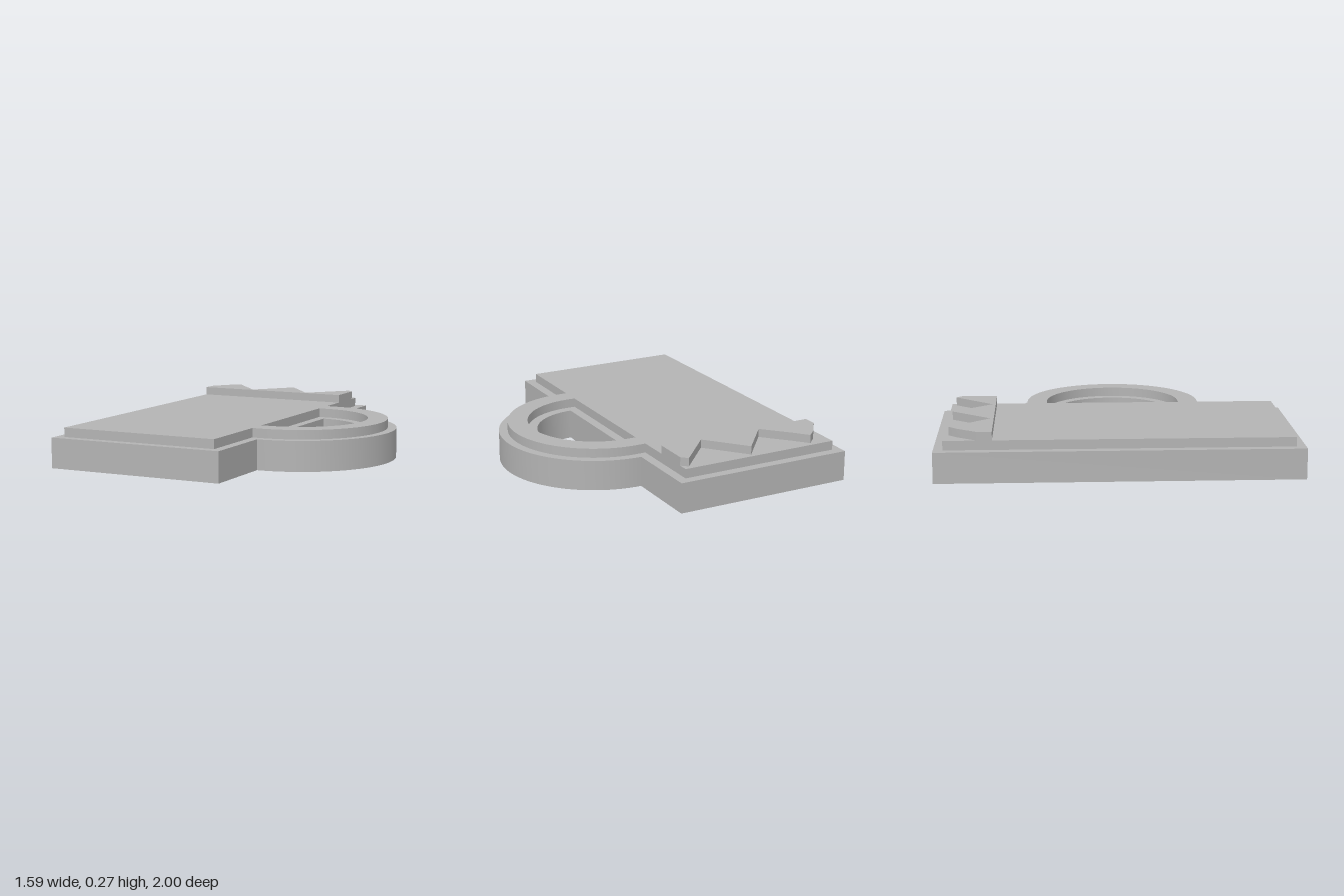
import * as THREE from 'three';
import { toCreasedNormals } from 'three/addons/utils/BufferGeometryUtils.js';

const HANDLE_X = 0.24; // centre of the handle arcs

// Extrude a plan outline (x, -z) upwards from height y
function slab(name, shape, y, height, material) {
  let geometry = new THREE.ExtrudeGeometry(shape, { depth: height, bevelEnabled: false, curveSegments: 48 });
  geometry.rotateX(-Math.PI / 2);
  geometry = toCreasedNormals(geometry, Math.PI / 6);
  const mesh = new THREE.Mesh(geometry, material);
  mesh.name = name;
  mesh.position.y = y;
  return mesh;
}

// Mug silhouette: rectangle with a half-ring handle on its +x side
function mugShape(left, right, halfLength, outer, inner) {
  const s = new THREE.Shape();
  s.moveTo(left, -halfLength);
  s.lineTo(right, -halfLength);
  s.lineTo(right, -outer);
  if (right < HANDLE_X) s.lineTo(HANDLE_X, -outer);
  s.absarc(HANDLE_X, 0, outer, -Math.PI / 2, Math.PI / 2, false);
  if (right < HANDLE_X) s.lineTo(right, outer);
  s.lineTo(right, halfLength);
  s.lineTo(left, halfLength);
  s.closePath();

  const hole = new THREE.Path();
  hole.moveTo(right, inner);
  if (right < HANDLE_X) hole.lineTo(HANDLE_X, inner);
  hole.absarc(HANDLE_X, 0, inner, Math.PI / 2, -Math.PI / 2, true);
  if (right < HANDLE_X) hole.lineTo(right, -inner);
  hole.closePath();
  s.holes.push(hole);
  return s;
}

export function createModel() {
  const group = new THREE.Group();
  group.name = 'mugPlaque';
  const grey = new THREE.MeshStandardMaterial({ color: 0xb3b3b3 });
  grey.name = 'plain grey';

  // Wide base and the narrower raised layer on it
  group.add(slab('base', mugShape(-0.795, 0.24, 1, 0.555, 0.335), 0, 0.17, grey));
  group.add(slab('raisedLayer', mugShape(-0.745, 0.187, 0.948, 0.505, 0.39), 0.17, 0.052, grey));

  // Rim band with a zigzag back edge
  const band = new THREE.Shape([
    [-0.745, 0.685], [0.187, 0.685], [0.187, 0.89], [0.153, 0.922], [0.1, 0.865],
    [-0.048, 0.704], [-0.233, 0.922], [-0.418, 0.704], [-0.55, 0.845],
    [-0.615, 0.922], [-0.667, 0.872], [-0.745, 0.765],
  ].map(([x, y]) => new THREE.Vector2(x, y)));
  group.add(slab('zigzagBand', band, 0.222, 0.047, grey));
  return group;
}
